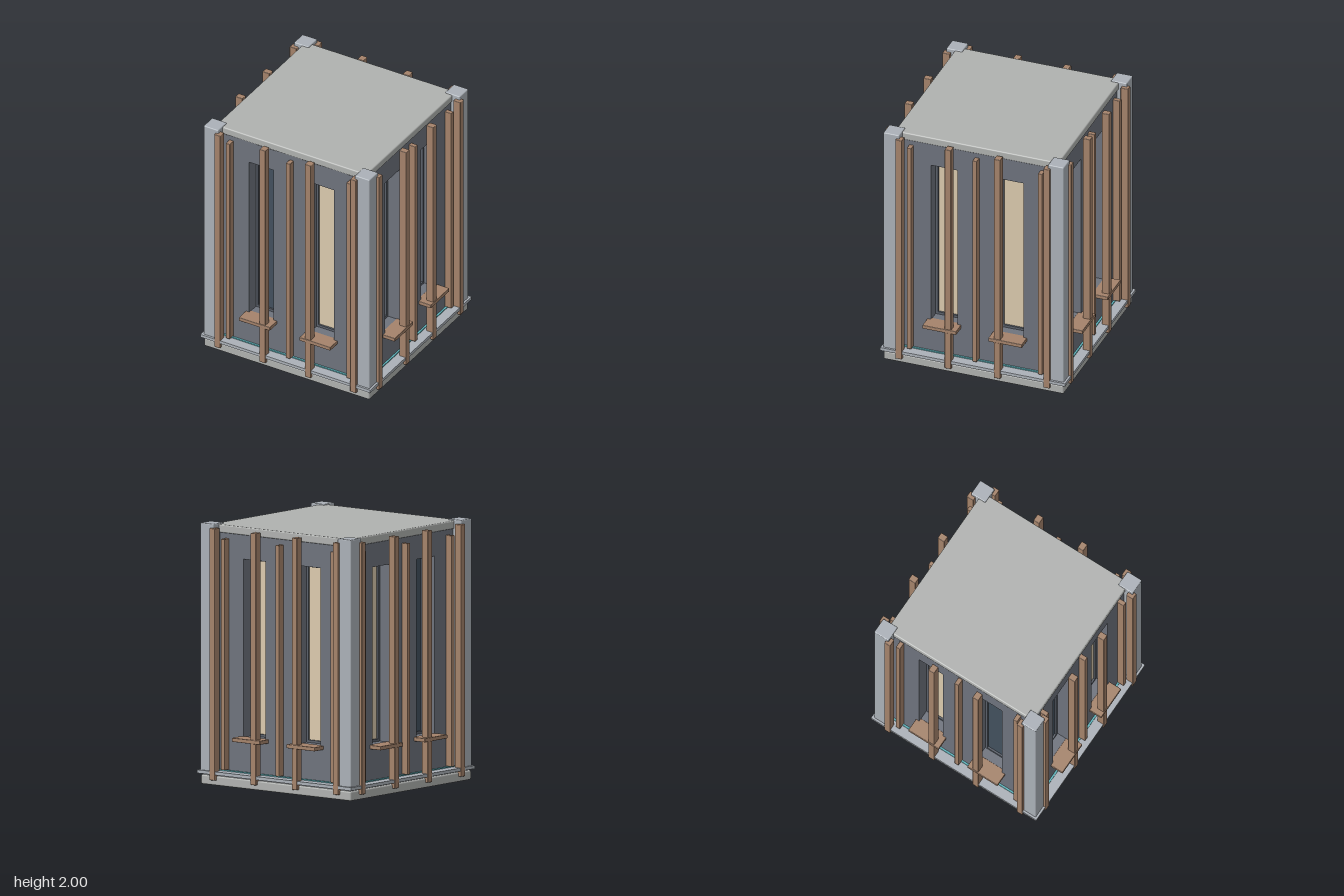
import * as THREE from 'three';
import { RoundedBoxGeometry } from 'three/addons/geometries/RoundedBoxGeometry.js';

const paint = (color) => new THREE.MeshStandardMaterial({ color });
const M = {
  stone: paint(0xb0b2b0), post: paint(0xabb1b8), wall: paint(0x6e737d),
  wood: paint(0xa5836b), lit: paint(0xdccbae), dark: paint(0x42505e),
  frame: paint(0x5a606a), glow: paint(0x5fb4bc),
};

// Box given by its min and max corners, with an optional small edge radius
function box(name, mat, [x0, y0, z0], [x1, y1, z1], radius = 0) {
  const size = [x1 - x0, y1 - y0, z1 - z0];
  const geo = radius
    ? new RoundedBoxGeometry(...size, 2, radius)
    : new THREE.BoxGeometry(...size);
  const mesh = new THREE.Mesh(geo, mat);
  mesh.name = name;
  mesh.position.set((x0 + x1) / 2, (y0 + y1) / 2, (z0 + z1) / 2);
  return mesh;
}

// Square slab centred on the vertical axis
const slab = (name, mat, half, y0, y1, radius) =>
  box(name, mat, [-half, y0, -half], [half, y1, half], radius);

function rect(ShapeType, x0, y0, x1, y1) {
  const s = new ShapeType();
  s.moveTo(x0, y0);
  s.lineTo(x1, y0);
  s.lineTo(x1, y1);
  s.lineTo(x0, y1);
  s.closePath();
  return s;
}

// Rectangle with rectangular holes, extruded from z0 to z1
function panel(name, mat, outer, holes, z0, z1) {
  const shape = rect(THREE.Shape, ...outer);
  holes.forEach((h) => shape.holes.push(rect(THREE.Path, ...h)));
  const geo = new THREE.ExtrudeGeometry(shape, { depth: z1 - z0, bevelEnabled: false });
  const mesh = new THREE.Mesh(geo, mat);
  mesh.name = name;
  mesh.position.z = z0;
  return mesh;
}

const WALL_Z = 0.655, GLASS_Z = 0.54;

// One facade facing +z; glass holds the left and right pane materials
function facade(glass) {
  const g = new THREE.Group();
  const opening = (cx) => [cx - 0.108, 0.38, cx + 0.108, 1.745];
  const centres = [-0.267, 0.267];
  g.add(panel('wall', M.wall, [-0.62, 0.1, 0.62, 1.94], centres.map(opening), GLASS_Z - 0.01, WALL_Z));

  centres.forEach((cx, i) => {
    const [x0, y0, x1, y1] = opening(cx);
    g.add(box('windowPane', glass[i], [x0 - 0.01, y0 - 0.01, GLASS_Z - 0.03], [x1 + 0.01, y1 + 0.01, GLASS_Z]));
    g.add(panel('windowFrame', M.frame, [x0, y0, x1, y1],
      [[x0 + 0.02, y0 + 0.02, x1 - 0.02, y1 - 0.02]], GLASS_Z - 0.005, GLASS_Z + 0.015));
    g.add(box('windowSill', M.wood, [cx - 0.137, 0.355, 0.63], [cx + 0.137, 0.385, 0.76], 0.004));
  });

  // Tall outer fins and slim fins against the wall
  for (const x of [-0.6, -0.2, 0.2, 0.6])
    g.add(box('tallFin', M.wood, [x - 0.026, 0.04, 0.693], [x + 0.026, 1.97, 0.754], 0.005));
  for (const x of [-0.532, 0, 0.532])
    g.add(box('slimFin', M.wood, [x - 0.018, 0.12, 0.65], [x + 0.018, 1.89, 0.71], 0.004));
  return g;
}

export function createModel() {
  const model = new THREE.Group();
  model.name = 'tower';

  // Base and ledge
  model.add(slab('base', M.stone, 0.73, 0, 0.073, 0.012));
  model.add(slab('baseJoint', M.post, 0.715, 0.06, 0.09));
  model.add(slab('ledge', M.post, 0.75, 0.083, 0.108));
  model.add(slab('lightStrip', M.glow, 0.67, 0.105, 0.116));

  // Corner posts
  for (const sx of [-1, 1])
    for (const sz of [-1, 1]) {
      const post = box('cornerPost', M.post, [0.603, 0.1, 0.603], [0.733, 2, 0.733], 0.008);
      post.position.x *= sx;
      post.position.z *= sz;
      model.add(post);
    }

  // Four facades: front, +x side, back, -x side
  const panes = [[M.dark, M.lit], [M.lit, M.lit], [M.lit, M.lit], [M.lit, M.dark]];
  ['front', 'left', 'back', 'right'].forEach((side, i) => {
    const f = facade(panes[i]);
    f.name = side + 'Facade';
    f.rotation.y = (i * Math.PI) / 2;
    model.add(f);
  });

  // Roof
  model.add(slab('roof', M.stone, 0.665, 1.93, 1.992, 0.01));
  return model;
}
